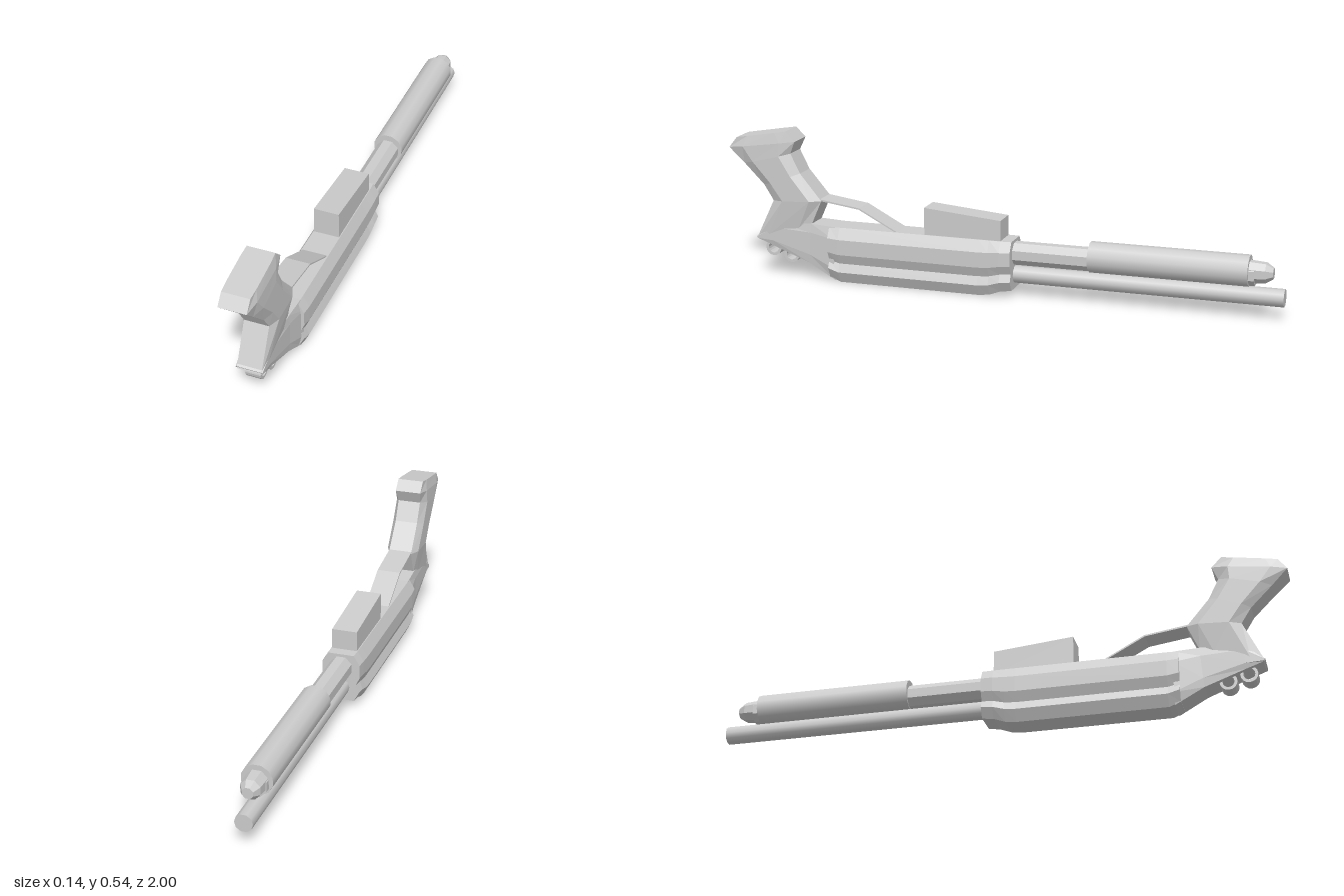
import * as THREE from 'three';

const flat = new THREE.MeshStandardMaterial({ color: 0xcccccc, flatShading: true, side: THREE.DoubleSide });
const smooth = new THREE.MeshStandardMaterial({ color: 0xcccccc });

// Skin a series of closed rings and close both ends
function loft(rings) {
  const pos = [];
  const tri = (...pts) => pts.forEach(p => pos.push(...p));
  const n = rings[0].length;
  const centre = r => [0, 1, 2].map(k => r.reduce((s, p) => s + p[k], 0) / n);
  const first = rings[0], last = rings[rings.length - 1];
  const c0 = centre(first), c1 = centre(last);
  for (let j = 0; j < n; j++) {
    const k = (j + 1) % n;
    for (let i = 0; i < rings.length - 1; i++) {
      const a = rings[i], b = rings[i + 1];
      tri(a[j], a[k], b[k]);
      tri(a[j], b[k], b[j]);
    }
    tri(c0, first[k], first[j]);
    tri(c1, last[j], last[k]);
  }
  const g = new THREE.BufferGeometry();
  g.setAttribute('position', new THREE.Float32BufferAttribute(pos, 3));
  g.computeVertexNormals();
  return g;
}

// Chamfered section between edge points A and B, each [z, y]
function section([az, ay], [bz, by], edge, mid) {
  const side = [[1, edge], [0.78, mid], [0.22, mid], [0, edge]];
  const at = (t, x) => [x, ay + (by - ay) * t, az + (bz - az) * t];
  return [
    ...side.map(([t, x]) => at(t, x)),
    ...side.slice().reverse().map(([t, x]) => at(t, -x)),
  ];
}

// Solid of revolution along z between two stations
function rod(zA, zB, y, rA, rB, sides) {
  const g = new THREE.CylinderGeometry(rA, rB, Math.abs(zA - zB), sides);
  g.rotateX(Math.PI / 2);
  g.rotateZ(Math.PI / sides);
  g.translate(0, y, (zA + zB) / 2);
  return g;
}

// Side outline [z, y] extruded across x
function slab(points, halfWidth) {
  const shape = new THREE.Shape(points.map(([z, y]) => new THREE.Vector2(-z, y)));
  const g = new THREE.ExtrudeGeometry(shape, { depth: halfWidth * 2, bevelEnabled: false });
  g.translate(0, 0, -halfWidth);
  g.rotateY(Math.PI / 2);
  return g;
}

export function createModel() {
  const model = new THREE.Group();
  const add = (name, geometry, material = flat) => {
    const mesh = new THREE.Mesh(geometry, material);
    mesh.name = name;
    model.add(mesh);
    return mesh;
  };

  // Receiver: waisted section, cut away at the lower ends
  const half = [[0.048, 0], [0.068, 0.04], [0.055, 0.07], [0.07, 0.105], [0.07, 0.16], [0.048, 0.2]];
  const receiverRing = ([z, low, wide]) => {
    const right = half.map(([x, y]) => [x * wide, low + y * (0.2 - low) / 0.2, z]);
    return [...right, ...right.slice().reverse().map(([x, y, w]) => [-x, y, w])];
  };
  add('receiver', loft([
    [-0.06, 0.025, 0.97], [-0.02, 0.02, 1], [0.02, 0.005, 1], [0.06, 0, 1], [0.58, 0, 1], [0.62, 0.015, 0.97],
  ].map(receiverRing)));

  // Tang joining receiver and grip
  add('tang', loft([
    section([0.6, 0.2], [0.6, 0.005], 0.048, 0.058),
    section([0.69, 0.205], [0.7, 0.06], 0.046, 0.05),
    section([0.835, 0.2], [0.84, 0.112], 0.043, 0.048),
    section([0.905, 0.143], [0.9, 0.133], 0.042, 0.046),
  ]));

  // Pistol grip
  add('grip', loft([
    section([0.69, 0.2], [0.905, 0.135], 0.042, 0.047),
    section([0.65, 0.29], [0.835, 0.28], 0.043, 0.06),
    section([0.73, 0.385], [0.87, 0.335], 0.042, 0.06),
    section([0.765, 0.455], [0.945, 0.41], 0.042, 0.06),
    section([0.745, 0.5], [1.0, 0.465], 0.048, 0.058),
    section([0.78, 0.535], [0.97, 0.503], 0.048, 0.05),
  ]));

  // Thin bent guard strip
  add('triggerGuard', slab([
    [0.66, 0.297], [0.505, 0.275], [0.36, 0.198], [0.37, 0.198], [0.507, 0.27], [0.66, 0.291],
  ], 0.043));

  // Sloping block on the receiver
  add('loadingBlock', slab([[0.26, 0.19], [0.26, 0.297], [-0.02, 0.272], [-0.02, 0.19]], 0.045));

  // Barrel, magazine tube, sliding fore-end and cap
  add('barrel', rod(-0.04, -1, 0.075, 0.031, 0.031, 10), smooth);
  add('magazineTube', rod(-0.04, -0.9, 0.151, 0.042, 0.042, 8), flat);
  add('foreEnd', rod(-0.33, -0.88, 0.16, 0.054, 0.054, 12), smooth);
  add('magazineCap', rod(-0.88, -0.935, 0.157, 0.04, 0.036, 8));
  add('magazineCapTip', rod(-0.935, -0.96, 0.157, 0.036, 0.02, 8));

  // Hollow rings under the tang
  for (const [z, y] of [[0.848, 0.1], [0.778, 0.08]]) {
    const shape = new THREE.Shape().absarc(0, 0, 0.03, 0, Math.PI * 2);
    shape.holes.push(new THREE.Path().absarc(0, 0, 0.02, 0, Math.PI * 2, true));
    const g = new THREE.ExtrudeGeometry(shape, { depth: 0.054, bevelEnabled: false, curveSegments: 8 });
    g.translate(0, 0, -0.027);
    g.rotateY(Math.PI / 2);
    add('slingRing', g).position.set(0, y, z);
  }
  return model;
}
